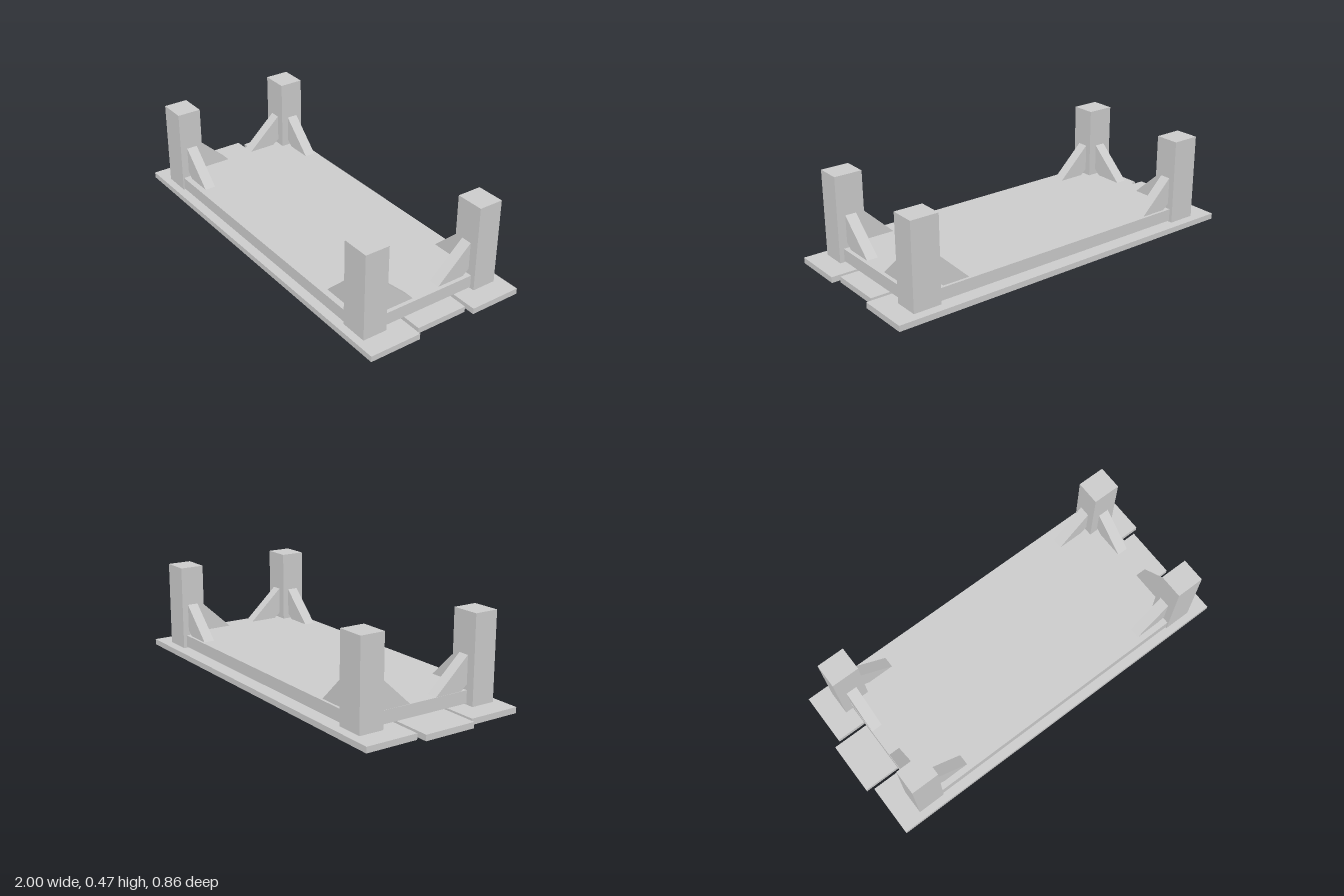
import * as THREE from 'three';

export function createModel() {
  const model = new THREE.Group();
  model.name = 'timberPlatform';
  const material = new THREE.MeshStandardMaterial({ color: 0xcccccc, flatShading: true });

  // Box given by its lower and upper limits on each axis
  function box(name, x0, x1, y0, y1, z0, z1) {
    const mesh = new THREE.Mesh(new THREE.BoxGeometry(x1 - x0, y1 - y0, z1 - z0), material);
    mesh.position.set((x0 + x1) / 2, (y0 + y1) / 2, (z0 + z1) / 2);
    mesh.name = name;
    model.add(mesh);
  }

  // Three staggered base planks
  box('frontPlank', -0.965, 1, 0, 0.03, 0.158, 0.43);
  box('middlePlank', -1, 0.965, 0, 0.03, -0.137, 0.139);
  box('backPlank', -0.965, 1, 0, 0.03, -0.43, -0.157);

  // Deck held between the posts
  box('deck', -0.81, 0.87, 0.036, 0.1, -0.364, 0.385);

  // Diagonal brace: slanted profile running outward from a post face along +x
  const width = 0.058;
  function brace(name, x, z, angle, reach) {
    const profile = new THREE.Shape([
      new THREE.Vector2(0, 0.128),
      new THREE.Vector2(0.036, 0.098),
      new THREE.Vector2(reach, 0.098),
      new THREE.Vector2(0, 0.269),
    ]);
    const geometry = new THREE.ExtrudeGeometry(profile, { depth: width, bevelEnabled: false });
    geometry.translate(0, 0, -width / 2);
    const mesh = new THREE.Mesh(geometry, material);
    mesh.position.set(x, 0, z);
    mesh.rotation.y = angle;
    mesh.name = name;
    model.add(mesh);
  }

  // Corner posts, each with one brace along x and one along z
  const sides = [
    { name: 'Right', x0: -0.852, x1: -0.706, inner: -0.706, angle: 0 },
    { name: 'Left', x0: 0.748, x1: 0.894, inner: 0.748, angle: Math.PI },
  ];
  const ends = [
    { name: 'front', z0: 0.264, z1: 0.391, inner: 0.264, angle: Math.PI / 2 },
    { name: 'back', z0: -0.382, z1: -0.254, inner: -0.254, angle: -Math.PI / 2 },
  ];
  for (const s of sides) {
    for (const e of ends) {
      const corner = e.name + s.name;
      box(corner + 'Post', s.x0, s.x1, 0.03, 0.474, e.z0, e.z1);
      brace(corner + 'LongBrace', s.inner, (e.z0 + e.z1) / 2 - 0.003, s.angle, 0.178);
      brace(corner + 'CrossBrace', (s.x0 + s.x1) / 2, e.inner, e.angle, 0.186);
    }
  }
  return model;
}
